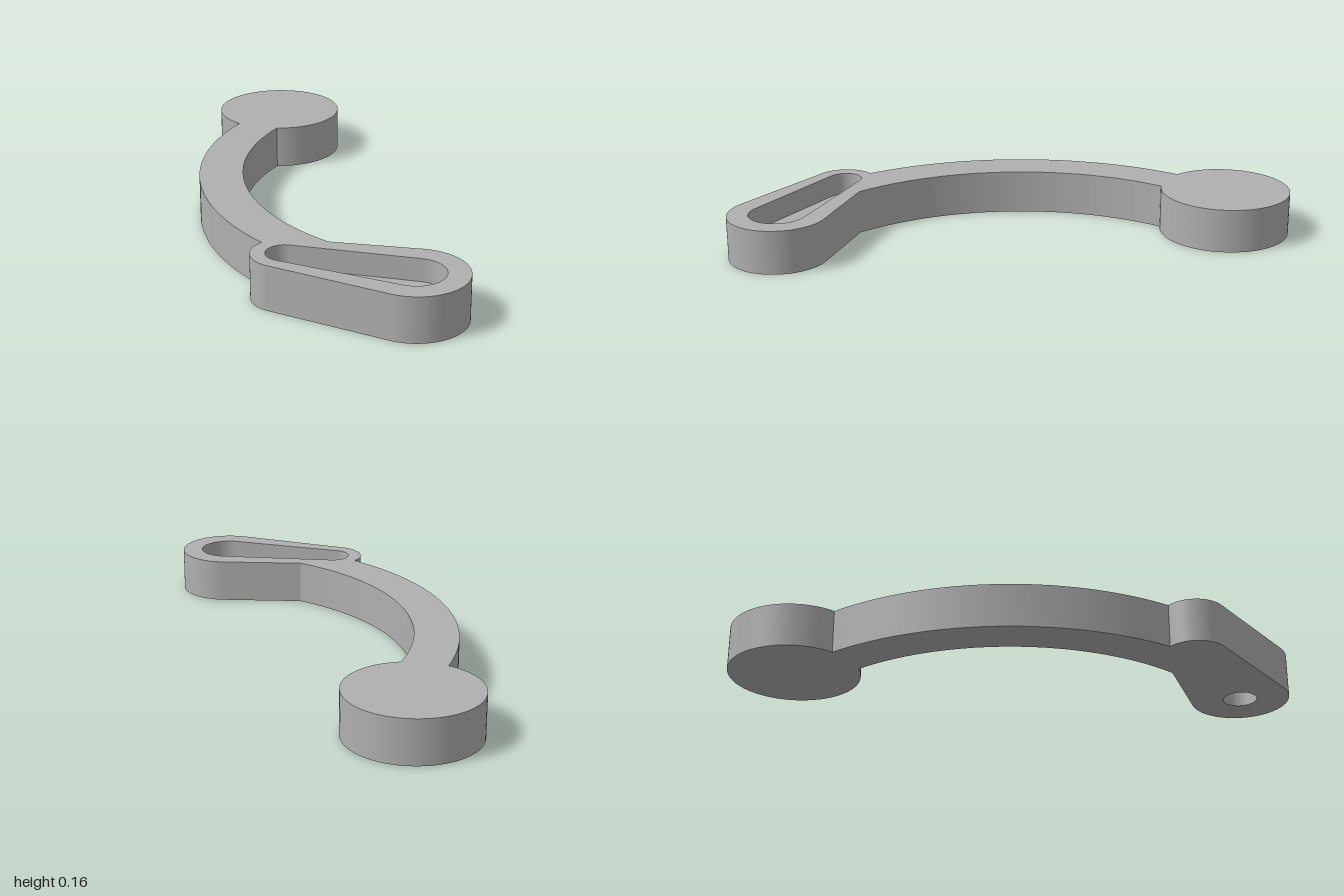
import * as THREE from 'three';
import { toCreasedNormals } from 'three/addons/utils/BufferGeometryUtils.js';

const HEIGHT = 0.163;
const FLOOR = 0.08; // level of the slot floor

// Plan outlines are drawn with x right and y towards the back (-z).
const SMALL = new THREE.Vector2(-0.12, -0.69);
const BIG = new THREE.Vector2(0.31, -0.817);

// Two circles joined by their outer tangents
function teardrop(path, r, R) {
  const axis = BIG.clone().sub(SMALL);
  const phi = Math.atan2(axis.y, axis.x);
  const theta = Math.PI / 2 + Math.asin((R - r) / axis.length());
  path.absarc(BIG.x, BIG.y, R, phi - theta, phi + theta, false);
  path.absarc(SMALL.x, SMALL.y, r, phi + theta, phi - theta + Math.PI * 2, false);
  path.closePath();
  return path;
}

// Curved bar between two concentric arcs, its ends sunk into the parts it joins
function armShape() {
  const cx = 0.563, cy = 0.123;
  const angle = (x, y) => {
    const a = Math.atan2(y - cy, x - cx);
    return a < 0 ? a + Math.PI * 2 : a;
  };
  const shape = new THREE.Shape();
  shape.absarc(cx, cy, 1.06, angle(-0.36, 0.64), angle(-0.195, -0.617), false);
  shape.absarc(cx, cy, 0.898, angle(0.03, -0.602), angle(-0.23, 0.55), true);
  shape.closePath();
  return shape;
}

export function createModel() {
  const model = new THREE.Group();
  const grey = new THREE.MeshStandardMaterial({ color: 0xb0b0b0 });
  grey.name = 'grey';

  function addSlab(name, shape, bottom, top) {
    const extruded = new THREE.ExtrudeGeometry(shape, {
      depth: top - bottom, bevelEnabled: false, curveSegments: 48,
    });
    extruded.rotateX(-Math.PI / 2);
    extruded.translate(0, bottom, 0);
    const mesh = new THREE.Mesh(toCreasedNormals(extruded, 0.5), grey);
    mesh.name = name;
    model.add(mesh);
  }

  // Round pad at the back
  const pad = new THREE.Mesh(new THREE.CylinderGeometry(0.242, 0.242, HEIGHT, 72), grey);
  pad.name = 'roundPad';
  pad.position.set(-0.253, HEIGHT / 2, -0.758);
  model.add(pad);

  // Curved arm
  addSlab('curvedArm', armShape(), 0, HEIGHT);

  // Lever base with the pivot hole
  const base = teardrop(new THREE.Shape(), 0.115, 0.183);
  base.holes.push(new THREE.Path().absarc(BIG.x, BIG.y, 0.063, 0, Math.PI * 2, false));
  addSlab('leverBase', base, 0, FLOOR);

  // Lever rim around the tapered slot
  const rim = teardrop(new THREE.Shape(), 0.115, 0.183);
  rim.holes.push(teardrop(new THREE.Path(), 0.064, 0.105));
  addSlab('leverRim', rim, FLOOR, HEIGHT);

  return model;
}
